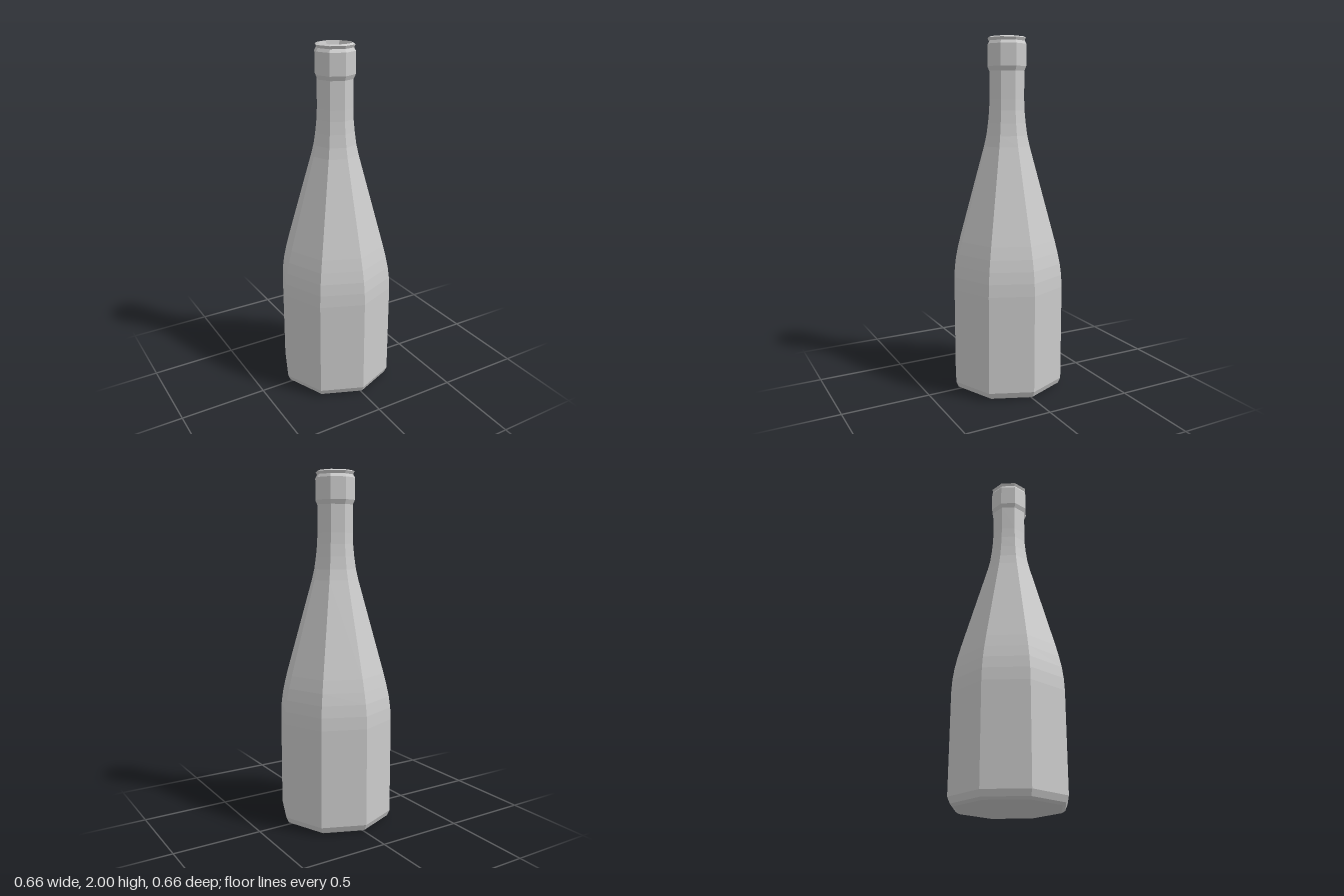
import * as THREE from 'three';

const SIDES = 8;

// Eight-sided turned part from [radius, height] pairs, listed bottom to top
function turned(name, profile) {
  const points = profile.map(([r, y]) => new THREE.Vector2(r, y));
  const material = new THREE.MeshStandardMaterial({ color: 0xcccccc, flatShading: true });
  const mesh = new THREE.Mesh(new THREE.LatheGeometry(points, SIDES), material);
  mesh.name = name;
  return mesh;
}

export function createModel() {
  const bottle = new THREE.Group();
  bottle.name = 'bottle';

  // Flat base with a small bevel
  bottle.add(turned('base', [[0, 0], [0.295, 0], [0.315, 0.012], [0.33, 0.045]]));

  // Straight body, rounded shoulder and long taper
  bottle.add(turned('body', [
    [0.33, 0.045], [0.33, 0.6], [0.326, 0.67], [0.317, 0.735], [0.303, 0.8], [0.285, 0.87],
    [0.135, 1.4],
  ]));

  // Taper easing into the straight neck
  bottle.add(turned('neck', [
    [0.135, 1.4], [0.121, 1.46], [0.111, 1.53], [0.104, 1.6], [0.102, 1.66], [0.102, 1.815],
  ]));

  // Collar below the mouth
  bottle.add(turned('collar', [[0.102, 1.815], [0.113, 1.84], [0.113, 1.96], [0.103, 1.977]]));

  // Flared lip, with the inner wall sloping down to a shallow floor
  bottle.add(turned('lip', [
    [0.103, 1.977], [0.111, 1.993], [0.095, 2], [0.085, 1.96], [0, 1.96],
  ]));

  return bottle;
}
